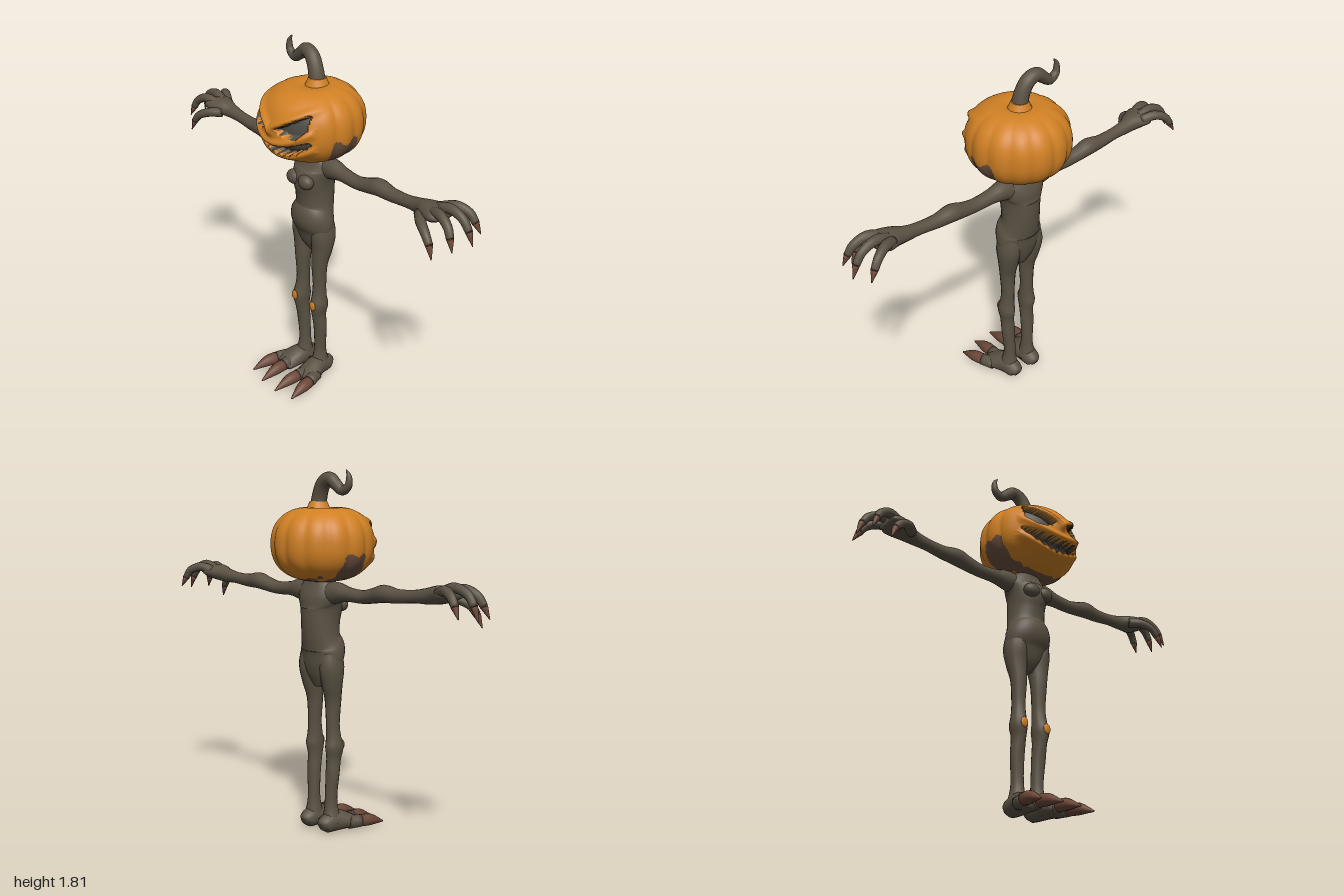
import * as THREE from 'three';

const mat = (name, color) => Object.assign(new THREE.MeshStandardMaterial({ color }), { name });

// Smooth closed tube through stations [x, y, z, ra, rb]; ra lies along ref, rb across it
function loft(stations, ref, sides = 16, sub = 4) {
  const centres = new THREE.CatmullRomCurve3(stations.map(s => new THREE.Vector3(s[0], s[1], s[2])), false, 'catmullrom');
  const radii = new THREE.CatmullRomCurve3(stations.map(s => new THREE.Vector3(s[3], s[4] ?? s[3], 0)), false, 'catmullrom');
  const n = (stations.length - 1) * sub, pos = [], idx = [];
  for (let i = 0; i <= n; i++) {
    const c = centres.getPoint(i / n), r = radii.getPoint(i / n), t = centres.getTangent(i / n);
    const u = ref.clone().addScaledVector(t, -ref.dot(t)).normalize();
    const v = t.clone().cross(u);
    for (let j = 0; j < sides; j++) {
      const a = j / sides * Math.PI * 2;
      const p = c.clone().addScaledVector(u, Math.cos(a) * Math.max(r.x, 0.001)).addScaledVector(v, Math.sin(a) * Math.max(r.y, 0.001));
      pos.push(p.x, p.y, p.z);
      if (i < n) {
        const k = (j + 1) % sides, q = i * sides, w = q + sides;
        idx.push(q + j, q + k, w + k, q + j, w + k, w + j);
      }
    }
  }
  // end caps
  const first = pos.length / 3, last = n * sides;
  for (const p of [centres.getPoint(0), centres.getPoint(1)]) pos.push(p.x, p.y, p.z);
  for (let j = 0; j < sides; j++) {
    const k = (j + 1) % sides;
    idx.push(first, k, j, first + 1, last + j, last + k);
  }
  const g = new THREE.BufferGeometry();
  g.setAttribute('position', new THREE.Float32BufferAttribute(pos, 3));
  g.setIndex(idx);
  g.computeVertexNormals();
  return g;
}

// Carved face regions, in front-facing x and y
const EYE = [[0.17, 1.56], [0.035, 1.478], [0.055, 1.457], [0.135, 1.447], [0.172, 1.49]];
function inEye(x, y) {
  x = Math.abs(x);
  return EYE.every(([ax, ay], i) => {
    const [bx, by] = EYE[(i + 1) % EYE.length];
    return (bx - ax) * (y - ay) - (by - ay) * (x - ax) > 0;
  });
}
const mouthMid = x => 1.362 + 1.9 * x * x;
function inMouth(x, y) {
  const k = 1 - (x / 0.183) ** 2;
  if (k <= 0) return false;
  const half = 0.031 * Math.sqrt(k);
  const tooth = 0.016 * Math.abs(((x / 0.042 + 100.5) % 1) * 2 - 1) * k;
  const d = y - mouthMid(x);
  return d < half - 0.4 * tooth && d > -half + tooth;
}
const bump = (d, w) => Math.exp(-((d / w) ** 2));

function pumpkinGeometry() {
  const rows = 110, cols = 176, pos = [], idx = [], flat = [];
  for (let i = 0; i <= rows; i++) {
    const v = i / rows * Math.PI, cv = Math.cos(v);
    const h = Math.pow(Math.max(Math.sin(v), 0), 0.75);
    for (let j = 0; j < cols; j++) {
      const t = j / cols * Math.PI * 2;
      const a = t - 0.45 * Math.sin(t); // finer columns at the face
      const front = THREE.MathUtils.smoothstep(Math.cos(a), 0.2, 0.7);
      const rib = 1 + (1 - front) * 0.045 * (Math.abs(Math.sin(a * 7)) - 0.75) * h;
      const x = 0.25 * h * rib * Math.sin(a);
      const y = 1.455 + 0.185 * Math.sign(cv) * Math.pow(Math.abs(cv), 0.88) - (cv > 0 ? 0.02 * bump(h, 0.3) : 0);
      let z = -0.02 + 0.255 * h * rib * Math.cos(a);
      flat.push([x, y, z]);
      if (z > 0) {
        const ax = Math.abs(x), d = y - mouthMid(x);
        if (inEye(x, y)) z -= 0.035;
        else if (inMouth(x, y)) z -= 0.06;
        else {
          // lips, nose and slanted brows
          z += 0.018 * front * bump(Math.abs(d) - 0.042, 0.018) * (ax < 0.2 ? 1 : 0);
          z += 0.014 * bump(x, 0.03) * bump(y - 1.455, 0.022);
          z += 0.02 * front * bump(y - (1.475 + 0.6 * ax), 0.022) * (ax < 0.19 ? 1 : 0);
        }
      }
      pos.push(x, y, z);
    }
  }
  // faces sorted by colour: 0 rind, 1 carved hollows, 2 rotten skin
  const sets = [[], [], []];
  const add = (...f) => {
    const [x, y, z] = [0, 1, 2].map(k => (flat[f[0]][k] + flat[f[1]][k] + flat[f[2]][k]) / 3);
    const edge = 0.012 * Math.sin(z * 70) + 0.008 * Math.sin(x * 90);
    const side = Math.abs(x) > 0.1 && Math.abs(z + 0.03) < 0.075 + edge && y < 1.41 + edge;
    const under = y < 1.292 + edge && z < 0.06 && z > -0.17;
    sets[z > 0 && (inEye(x, y) || inMouth(x, y)) ? 1 : side || under ? 2 : 0].push(...f);
  };
  for (let i = 0; i < rows; i++) for (let j = 0; j < cols; j++) {
    const k = (j + 1) % cols, q = i * cols, w = q + cols;
    add(q + j, w + j, w + k);
    add(q + j, w + k, q + k);
  }
  const g = new THREE.BufferGeometry();
  g.setAttribute('position', new THREE.Float32BufferAttribute(pos, 3));
  sets.forEach((s, m) => { g.addGroup(idx.length, s.length, m); for (const e of s) idx.push(e); });
  g.setIndex(idx);
  g.computeVertexNormals();
  return g;
}

export function createModel() {
  const root = new THREE.Group();
  root.name = 'pumpkinScarecrow';
  const bark = mat('bark', 0x5a5143), rind = mat('orangeRind', 0xd08024), claw = mat('claw', 0x6b4738);
  const hollow = mat('darkHollow', 0x4d4b45), rot = mat('rottenSkin', 0x6a4f3f);
  const X = new THREE.Vector3(1, 0, 0), Y = new THREE.Vector3(0, 1, 0), Z = new THREE.Vector3(0, 0, 1);
  const put = (name, geo, m, parent = root) => {
    const mesh = new THREE.Mesh(geo, m);
    mesh.name = name;
    parent.add(mesh);
    return mesh;
  };

  // Head and curled stem
  put('pumpkinHead', pumpkinGeometry(), [rind, hollow, rot]);
  put('stemCollar', new THREE.CylinderGeometry(0.042, 0.065, 0.05, 16), rind).position.set(0.01, 1.635, -0.04);
  put('stem', loft([[0.012, 1.6, -0.04, 0.045], [0.002, 1.68, -0.04, 0.038], [-0.03, 1.745, -0.045, 0.036],
    [-0.08, 1.768, -0.05, 0.033], [-0.125, 1.738, -0.05, 0.029], [-0.165, 1.712, -0.05, 0.024],
    [-0.203, 1.735, -0.05, 0.019], [-0.207, 1.778, -0.05, 0.013], [-0.19, 1.808, -0.05, 0.003]], Z), bark);

  // Torso
  put('torso', loft([[0, 0.745, -0.035, 0.03, 0.03], [0, 0.8, -0.03, 0.085, 0.058], [0, 0.87, -0.028, 0.122, 0.077],
    [0, 0.94, -0.02, 0.122, 0.097], [0, 1.0, -0.035, 0.1, 0.092], [0, 1.08, -0.036, 0.094, 0.1],
    [0, 1.15, -0.03, 0.1, 0.108], [0, 1.2, -0.04, 0.118, 0.09], [0, 1.25, -0.04, 0.108, 0.068],
    [0, 1.29, -0.035, 0.07, 0.058], [0, 1.34, -0.03, 0.06, 0.05]], X, 28, 5), bark);

  for (const s of [-1, 1]) {
    const side = new THREE.Group();
    side.name = s > 0 ? 'leftLimbs' : 'rightLimbs';
    root.add(side);
    const part = (name, pts, ref, m = bark, sides = 16) =>
      put(name, loft(pts.map(([x, ...rest]) => [x * s, ...rest]), ref, sides), m, side);

    const chest = put('chestMuscle', new THREE.SphereGeometry(1, 20, 14), bark, side);
    chest.scale.set(0.045, 0.038, 0.035);
    chest.position.set(0.043 * s, 1.155, 0.058);

    // Arm and palm
    part('arm', [[0.05, 1.215, -0.045, 0.055, 0.05], [0.13, 1.225, -0.045, 0.052, 0.045], [0.2, 1.222, -0.045, 0.036, 0.037],
      [0.3, 1.218, -0.045, 0.033, 0.034], [0.38, 1.232, -0.05, 0.037, 0.039], [0.44, 1.245, -0.053, 0.042, 0.043],
      [0.52, 1.24, -0.053, 0.034, 0.034], [0.62, 1.247, -0.053, 0.03, 0.03], [0.7, 1.255, -0.053, 0.037, 0.036],
      [0.76, 1.265, -0.047, 0.042, 0.058], [0.82, 1.272, -0.047, 0.036, 0.078], [0.86, 1.272, -0.05, 0.018, 0.06]], Y);

    // Curled fingers with claws
    const fingers = [
      [[0.79, 1.275, -0.085], [0.85, 1.295, -0.118], [0.905, 1.275, -0.145], [0.935, 1.235, -0.155], [0.962, 1.185, -0.165]],
      [[0.79, 1.28, -0.06], [0.865, 1.305, -0.066], [0.935, 1.282, -0.07], [0.972, 1.235, -0.073], [0.997, 1.17, -0.076]],
      [[0.79, 1.275, -0.025], [0.865, 1.295, -0.003], [0.925, 1.268, 0.012], [0.953, 1.225, 0.022], [0.978, 1.17, 0.032]],
      [[0.74, 1.25, -0.01], [0.79, 1.245, 0.035], [0.845, 1.22, 0.062], [0.88, 1.18, 0.07], [0.905, 1.12, 0.078]],
    ];
    const r = [0.027, 0.024, 0.021, 0.018, 0.002];
    fingers.forEach((f, i) => {
      const pts = f.map((p, k) => [...p, r[k]]);
      part('finger' + (i + 1), pts.slice(0, 4), Z, bark, 12);
      part('fingerClaw' + (i + 1), pts.slice(3), Z, claw, 12);
    });

    // Leg with knobbly knee
    part('leg', [[0.065, 0.93, -0.03, 0.05, 0.06], [0.073, 0.85, -0.03, 0.056, 0.068], [0.07, 0.77, -0.025, 0.052, 0.055],
      [0.065, 0.68, -0.013, 0.041, 0.042], [0.065, 0.56, -0.014, 0.033, 0.036], [0.067, 0.49, -0.011, 0.036, 0.041],
      [0.07, 0.44, -0.008, 0.04, 0.052], [0.067, 0.38, -0.01, 0.033, 0.041], [0.067, 0.3, -0.018, 0.036, 0.034],
      [0.063, 0.2, -0.023, 0.031, 0.032], [0.062, 0.13, -0.023, 0.033, 0.036], [0.066, 0.05, -0.02, 0.05, 0.055]], X);
    const patch = put('kneePatch', new THREE.SphereGeometry(1, 16, 12), rind, side);
    patch.scale.set(0.021, 0.026, 0.009);
    patch.position.set(0.072 * s, 0.447, 0.04);

    // Foot, two toes and claws
    part('foot', [[0.064, 0.035, -0.092, 0.02, 0.02], [0.064, 0.046, -0.07, 0.042, 0.044], [0.068, 0.056, 0, 0.052, 0.055],
      [0.08, 0.046, 0.06, 0.065, 0.043], [0.092, 0.035, 0.1, 0.068, 0.031], [0.095, 0.03, 0.12, 0.05, 0.02]], X);
    const toes = [[[0.066, 0.042, 0.06], [0.06, 0.044, 0.13], [0.058, 0.038, 0.19], [0.055, 0.012, 0.28]],
      [[0.112, 0.042, 0.05], [0.138, 0.042, 0.115], [0.15, 0.036, 0.175], [0.162, 0.012, 0.255]]];
    toes.forEach((p, i) => {
      part('toe' + (i + 1), [[...p[0], 0.035], [...p[1], 0.032]], X, bark, 12);
      part('toeClaw' + (i + 1), [[...p[1], 0.031], [...p[2], 0.029], [...p[3], 0.004]], X, claw, 12);
    });
  }
  return root;
}
